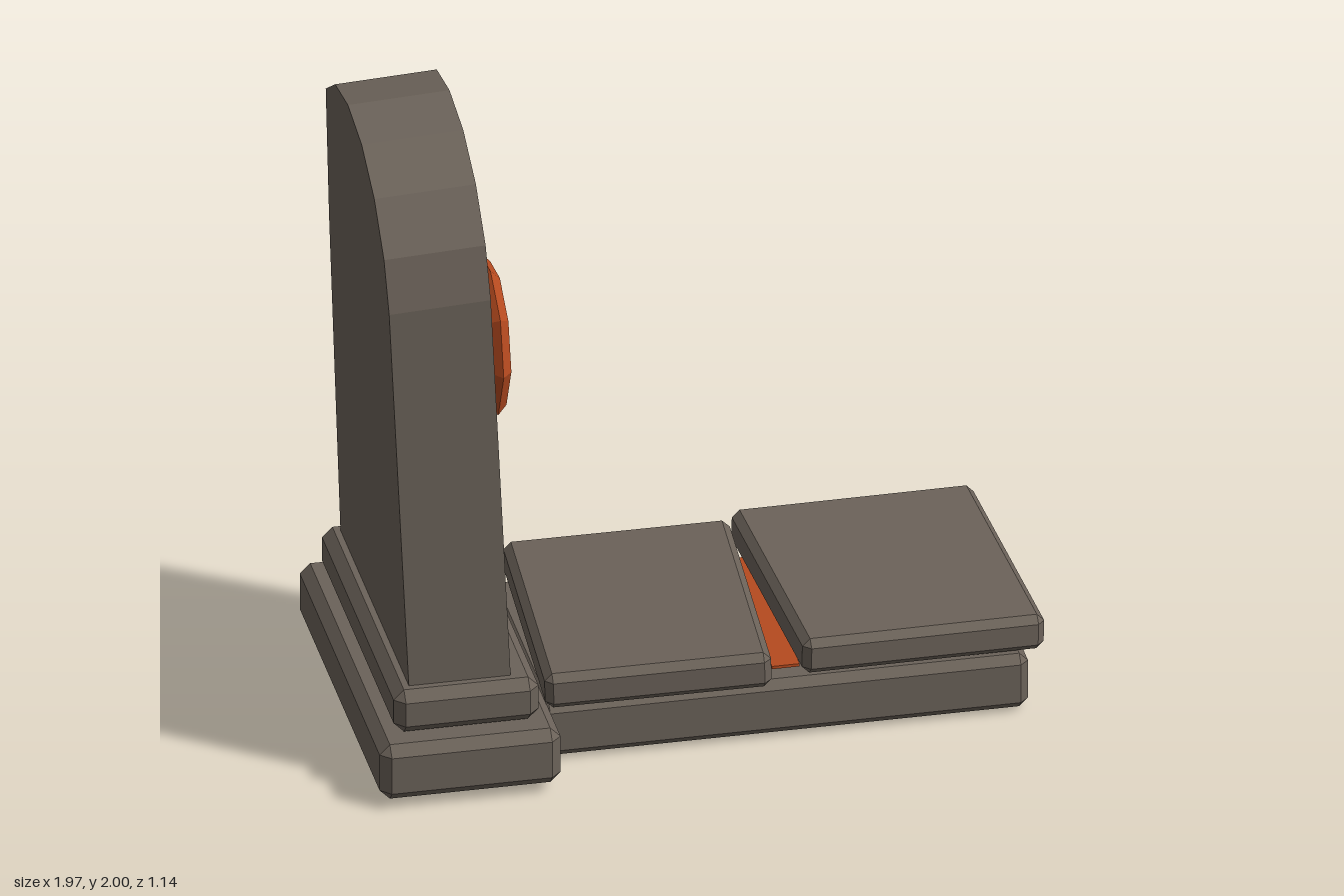
import * as THREE from 'three';
import { ConvexGeometry } from 'three/addons/geometries/ConvexGeometry.js';

const stone = new THREE.MeshStandardMaterial({ color: 0x6b6259, flatShading: true });
stone.name = 'stone';
const ember = new THREE.MeshStandardMaterial({ color: 0xb54a1f, flatShading: true });
ember.name = 'ember orange';

// Block whose edges are all cut at 45 degrees by c
function chamferBlock(w, h, d, c) {
  const points = [];
  for (const sx of [-1, 1]) for (const sy of [-1, 1]) for (const sz of [-1, 1]) {
    const [x, y, z] = [w / 2, h / 2, d / 2];
    points.push(
      new THREE.Vector3(sx * x, sy * (y - c), sz * (z - c)),
      new THREE.Vector3(sx * (x - c), sy * y, sz * (z - c)),
      new THREE.Vector3(sx * (x - c), sy * (y - c), sz * z));
  }
  return new ConvexGeometry(points);
}

export function createModel() {
  const group = new THREE.Group();
  group.name = 'gravestone';

  function add(name, geometry, material, position, rotation = [0, 0, 0]) {
    const mesh = new THREE.Mesh(geometry, material);
    mesh.name = name;
    mesh.position.set(...position);
    mesh.rotation.set(...rotation);
    group.add(mesh);
    return mesh;
  }

  // Stepped plinth
  add('lowerPlinth', chamferBlock(0.525, 0.175, 1.14, 0.03), stone, [-0.728, 0.113, 0]);
  add('upperPlinth', chamferBlock(0.42, 0.135, 1.03, 0.03), stone, [-0.728, 0.275, 0]);

  // Leaning headstone with a rounded top and one broken shoulder, as [z, y]
  const outline = [
    [0.465, 0], [0.465, 1.555], [0.43, 1.715], [0.33, 1.86], [0.18, 1.955], [0, 1.986],
    [-0.18, 1.955], [-0.328, 1.86], [-0.38, 1.42], [-0.465, 0.3], [-0.465, 0],
  ].map(([z, y]) => new THREE.Vector2(-z, y));
  const thickness = 0.295;
  const slab = new THREE.ExtrudeGeometry(new THREE.Shape(outline), { depth: thickness, bevelEnabled: false });
  slab.translate(0, 0, -thickness / 2).rotateY(Math.PI / 2);
  add('headstone', slab, stone, [-0.726, 0.007, 0], [0, 0, 0.047]);

  // Grave bed and its two crooked cover slabs
  add('graveBed', chamferBlock(1.415, 0.172, 0.76, 0.025), stone, [0.222, 0.093, 0]);
  add('innerCover', chamferBlock(0.65, 0.11, 0.82, 0.022), stone, [-0.133, 0.25, 0.03], [0, -0.06, 0.03]);
  add('outerCover', chamferBlock(0.71, 0.11, 0.82, 0.022), stone, [0.605, 0.246, -0.028], [0, 0.05, -0.025]);

  // Glow in the gap between the covers
  add('gapGlow', new THREE.BoxGeometry(0.08, 0.009, 0.64), ember, [0.235, 0.195, 0]);

  // Square-section spiral, wound inwards from its lowest point
  const radius = 0.028;
  const turns = 1.8;
  const spiral = new THREE.Curve();
  spiral.getPoint = (t, target = new THREE.Vector3()) => {
    const a = t * turns * Math.PI * 2;
    const r = 0.245 - 0.2 * t;
    return target.set(-0.567, 1.22 - r * Math.cos(a), r * Math.sin(a));
  };
  spiral.getPointAt = spiral.getPoint;
  spiral.getTangentAt = (t, target) => spiral.getTangent(t, target);
  add('spiral', new THREE.TubeGeometry(spiral, 16, radius, 4, false), ember, [0, 0, 0]);

  // Spiral end caps
  for (const [t, direction] of [[0, -1], [1, 1]]) {
    const end = spiral.getPoint(t);
    const cap = add('spiralEnd', new THREE.CircleGeometry(radius, 4), ember, end.toArray());
    cap.lookAt(end.clone().addScaledVector(spiral.getTangent(t), direction));
  }

  return group;
}
